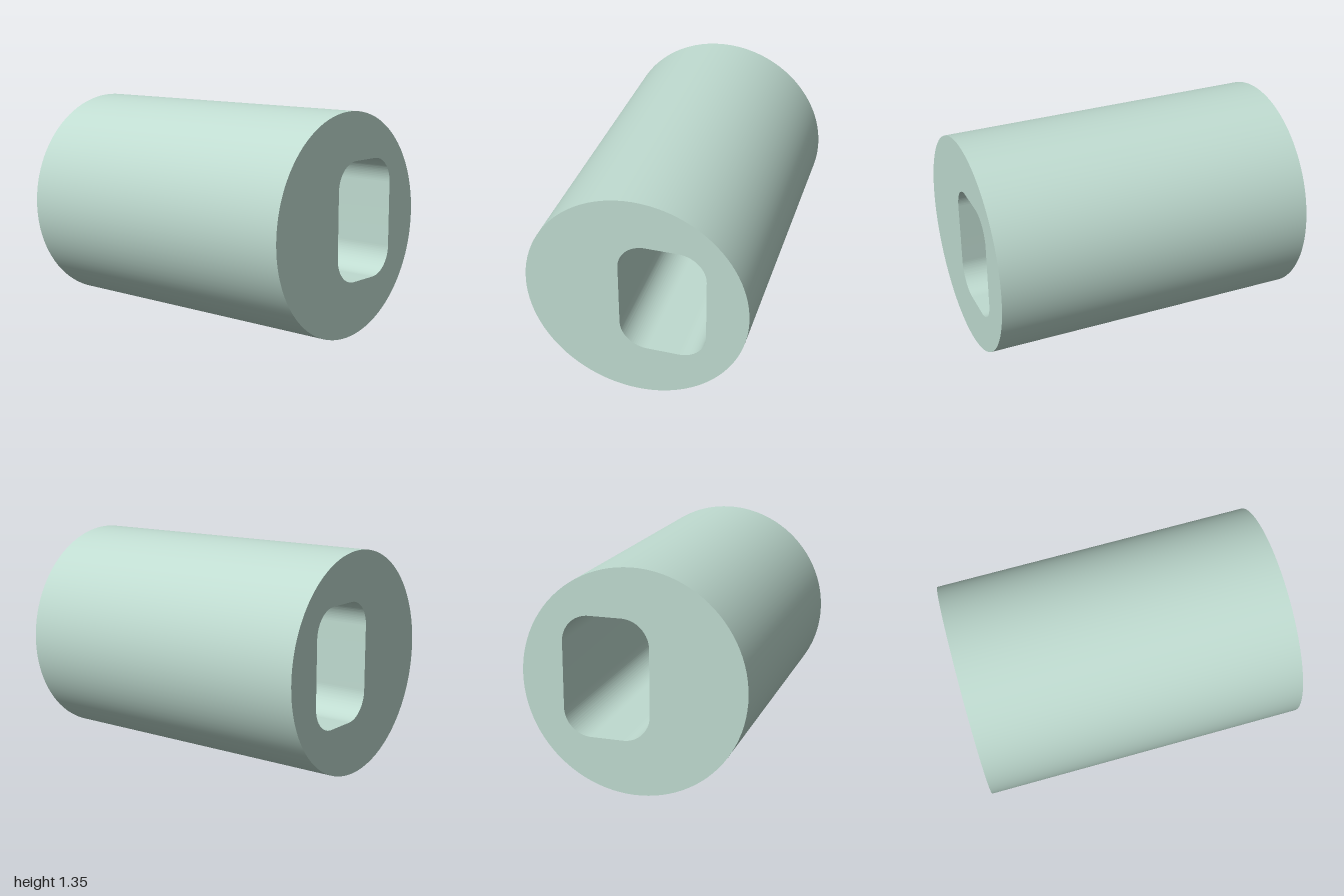
import * as THREE from 'three';
import { toCreasedNormals } from 'three/addons/utils/BufferGeometryUtils.js';

const LENGTH = 2;
const RADIUS = 0.673;

// Rounded rectangle path for the slot
function roundedSlot(x0, x1, y0, y1, r) {
  const p = new THREE.Path();
  p.moveTo(x0 + r, y0);
  p.absarc(x1 - r, y0 + r, r, -Math.PI / 2, 0);
  p.absarc(x1 - r, y1 - r, r, 0, Math.PI / 2);
  p.absarc(x0 + r, y1 - r, r, Math.PI / 2, Math.PI);
  p.absarc(x0 + r, y0 + r, r, Math.PI, Math.PI * 1.5);
  p.closePath();
  return p;
}

export function createModel() {
  const group = new THREE.Group();
  group.name = 'slottedCylinder';

  // Round section with an off-centre slot running the full length
  const section = new THREE.Shape();
  section.absarc(0, RADIUS, RADIUS, 0, Math.PI * 2);
  section.holes.push(roundedSlot(-0.1, 0.423, 0.327, 1.051, 0.165));

  const extruded = new THREE.ExtrudeGeometry(section, {
    depth: LENGTH, bevelEnabled: false, curveSegments: 48,
  });
  extruded.translate(0, 0, -LENGTH / 2);
  extruded.rotateY(Math.PI / 2); // lay the axis along x

  const body = new THREE.Mesh(
    toCreasedNormals(extruded, Math.PI / 6),
    new THREE.MeshStandardMaterial({ color: 0xbfdbd0 }),
  );
  body.name = 'cylinderBody';
  group.add(body);
  return group;
}
